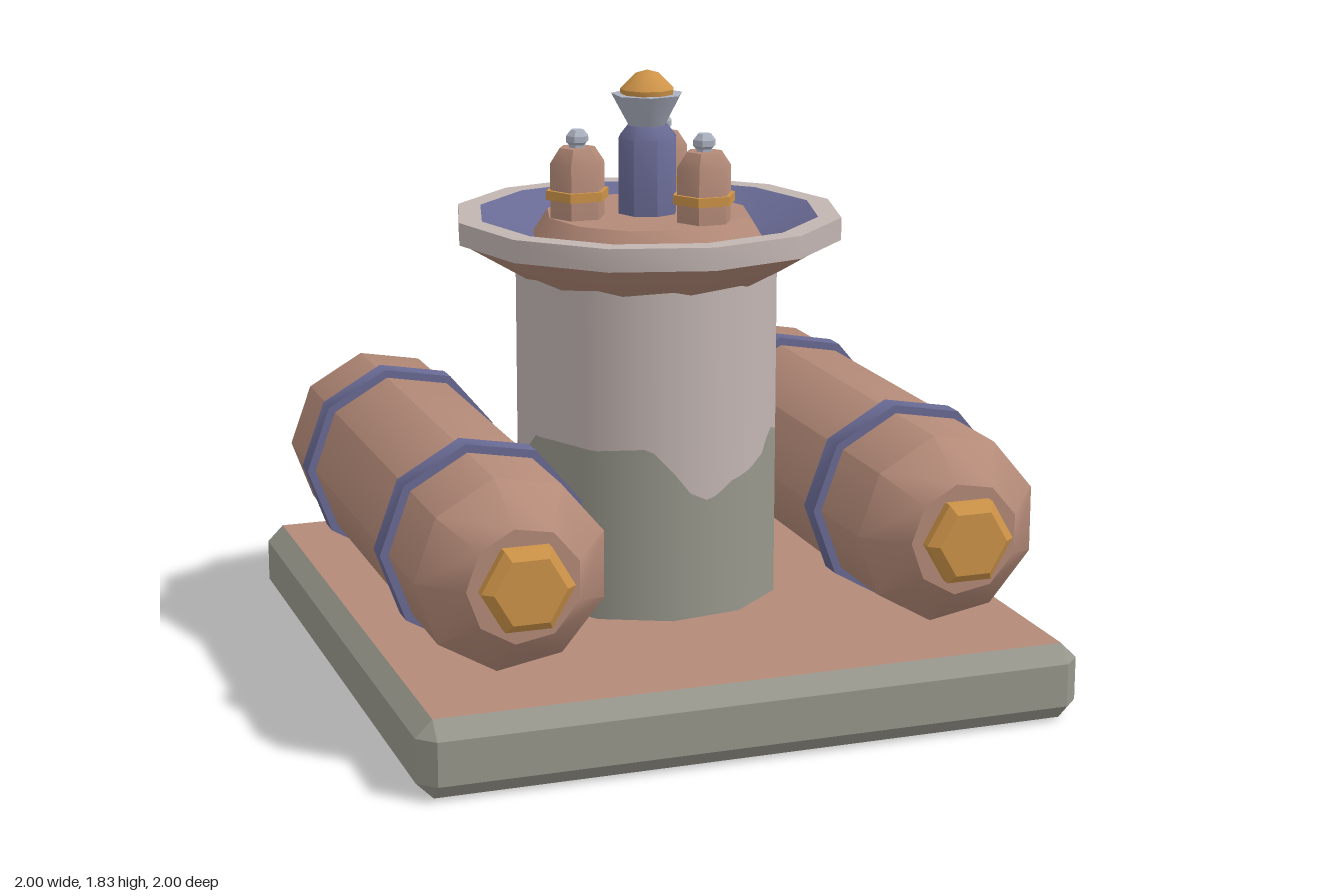
import * as THREE from 'three';
import { toCreasedNormals } from 'three/addons/utils/BufferGeometryUtils.js';
import { ConvexGeometry } from 'three/addons/geometries/ConvexGeometry.js';

const paint = (name, color) => {
  const m = new THREE.MeshStandardMaterial({ color });
  m.name = name;
  return m;
};

const mat = {
  copper: paint('copper', 0xb48a78),
  stone: paint('weathered grey', 0x98978c),
  pale: paint('pale grey', 0xc2b5b2),
  blue: paint('slate blue', 0x696a94),
  gold: paint('gold', 0xcd9348),
  steel: paint('steel', 0xacb1c0),
};

function add(parent, name, geometry, material) {
  const mesh = new THREE.Mesh(geometry, material);
  mesh.name = name;
  parent.add(mesh);
  return mesh;
}

// Turned part from [radius, height] pairs; sides blend up to the crease angle.
function turned(points, sides, start = 0, crease = 0.75) {
  const profile = points.map(([r, y]) => new THREE.Vector2(r, y));
  return toCreasedNormals(new THREE.LatheGeometry(profile, sides, start), crease);
}

// Square slab with every edge chamfered; flat top and bottom are copper.
function baseGeometry() {
  const pts = [];
  const b = 0.95;
  for (const sx of [-1, 1]) for (const sz of [-1, 1]) {
    for (const y of [0, 0.23]) pts.push(new THREE.Vector3(sx * b, y, sz * b));
    for (const y of [0.05, 0.18]) {
      pts.push(new THREE.Vector3(sx, y, sz * b), new THREE.Vector3(sx * b, y, sz));
    }
  }
  const g = new ConvexGeometry(pts);
  const n = g.attributes.normal;
  for (let i = 0; i < n.count; i += 3) g.addGroup(i, 3, Math.abs(n.getY(i)) > 0.95 ? 1 : 0);
  return g;
}

// Height of the weathering line: [degrees from front, height], repeated each half turn.
const waterline = [[-77, 0.76], [-45, 0.75], [-18, 0.76], [-8, 0.69], [0, 0.62], [9, 0.59], [15, 0.61],
  [22, 0.65], [34, 0.66], [45, 0.69], [52, 0.76], [61, 0.74], [77, 0.68], [90, 0.7], [103, 0.76]];
function lineHeight(theta) {
  const deg = (((THREE.MathUtils.radToDeg(theta) + 77) % 180) + 180) % 180 - 77;
  for (let i = 1; i < waterline.length; i++) {
    const [a, ya] = waterline[i - 1], [b, yb] = waterline[i];
    if (deg <= b) return ya + (yb - ya) * (deg - a) / (b - a);
  }
  return 0.76;
}

// Eleven-sided column band between two height rules, with round shading.
function columnBand(low, high) {
  const g = new THREE.CylinderGeometry(1, 1, 1, 88, 1, true);
  const p = g.attributes.position, uv = g.attributes.uv;
  const step = Math.PI * 2 / 11;
  for (let i = 0; i < p.count; i++) {
    const t = uv.getX(i) * Math.PI * 2;
    const off = (((t - Math.PI / 2) % step) + step) % step;
    const r = 0.4 * Math.cos(step / 2) / Math.cos(off - step / 2);
    p.setXYZ(i, Math.sin(t) * r, p.getY(i) > 0 ? high(t) : low(t), Math.cos(t) * r);
  }
  return g;
}

// Nine-sided tank lying along z, with two collars and a hexagonal front plug.
function makeTank(x) {
  const tank = new THREE.Group();
  const lay = (g) => g.rotateX(Math.PI / 2);
  const start = -Math.PI / 2;
  add(tank, 'tankBody', lay(turned(
    [[0, -0.89], [0.168, -0.89], [0.285, -0.77], [0.285, 0.77], [0.168, 0.89], [0, 0.89]], 9, start)), mat.copper);
  for (const z of [-0.46, 0.46]) {
    add(tank, 'tankCollar', lay(turned(
      [[0.27, z - 0.037], [0.31, z - 0.037], [0.31, z + 0.037], [0.27, z + 0.037]], 9, start)), mat.blue);
  }
  add(tank, 'tankPlug', lay(turned(
    [[0.11, 0.88], [0.135, 0.895], [0.135, 0.925], [0.105, 0.95], [0, 0.95]], 6, start, 0.3)), mat.gold);
  tank.position.set(x, 0.56, 0);
  return tank;
}

// Small hexagonal bottle with a gold band and a steel knob.
function makeBottle(x, z) {
  const bottle = new THREE.Group();
  const start = Math.PI / 2;
  add(bottle, 'bottleBody', turned(
    [[0.085, 1.39], [0.085, 1.565], [0.055, 1.61], [0, 1.61]], 6, start, 0.6), mat.copper);
  add(bottle, 'bottleBand', turned(
    [[0.08, 1.456], [0.098, 1.456], [0.098, 1.484], [0.08, 1.484]], 6, start, 0.6), mat.gold);
  add(bottle, 'bottleKnob', turned(
    [[0.025, 1.6], [0.025, 1.618], [0.035, 1.627], [0.035, 1.645], [0.02, 1.663], [0, 1.663]], 6, start, 0.6), mat.steel);
  bottle.position.set(x, 0, z);
  return bottle;
}

export function createModel() {
  const model = new THREE.Group();
  model.name = 'pumpStation';

  add(model, 'base', baseGeometry(), [mat.stone, mat.copper]);

  // Column, weathered below the wavy line
  add(model, 'columnLower', columnBand(() => 0.22, lineHeight), mat.stone);
  add(model, 'columnUpper', columnBand(lineHeight, () => 1.25), mat.pale);

  // Dish on top of the column
  const dish = new THREE.Group();
  dish.name = 'dish';
  add(dish, 'dishUnderside', turned([[0, 1.205], [0.36, 1.205], [0.578, 1.335]], 12), mat.copper);
  add(dish, 'dishRim', turned([[0.578, 1.335], [0.59, 1.335], [0.59, 1.403], [0.52, 1.403]], 12), mat.pale);
  add(dish, 'dishBowl', turned([[0.52, 1.403], [0.355, 1.33]], 12), mat.blue);
  add(dish, 'dishPlateau', turned([[0.355, 1.33], [0.31, 1.4], [0, 1.4]], 12), mat.copper);
  model.add(dish);

  // Central nozzle
  const nozzle = new THREE.Group();
  nozzle.name = 'nozzle';
  const right = Math.PI / 2;
  add(nozzle, 'nozzlePost', turned(
    [[0.092, 1.39], [0.092, 1.63], [0.062, 1.667], [0, 1.667]], 8, right), mat.blue);
  add(nozzle, 'nozzleFunnel', turned([[0.055, 1.66], [0.11, 1.76], [0, 1.76]], 7, right, 0.95), mat.steel);
  add(nozzle, 'nozzleDome', turned(
    [[0.08, 1.755], [0.083, 1.775], [0.035, 1.822], [0, 1.832]], 9, right, 0.9), mat.gold);
  model.add(nozzle);

  // Three bottles around the nozzle
  for (let i = 0; i < 3; i++) {
    const a = Math.PI + i * Math.PI * 2 / 3;
    const bottle = makeBottle(0.222 * Math.cos(a), 0.222 * Math.sin(a));
    bottle.name = 'bottle' + (i + 1);
    model.add(bottle);
  }

  // Side tanks
  for (const [name, x] of [['rightTank', -0.665], ['leftTank', 0.66]]) {
    const tank = makeTank(x);
    tank.name = name;
    model.add(tank);
  }
  return model;
}
